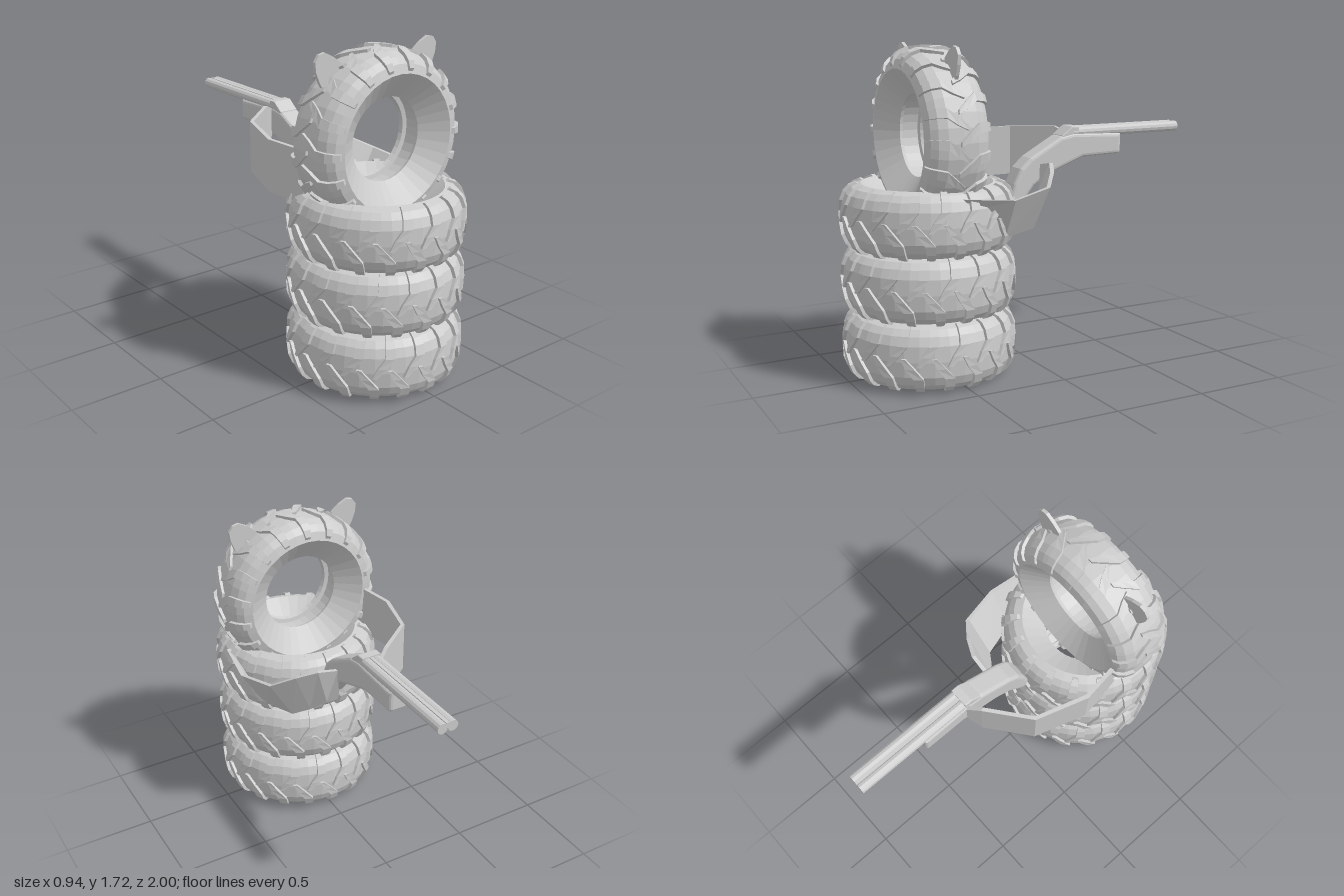
import * as THREE from 'three';
import { mergeGeometries } from 'three/addons/utils/BufferGeometryUtils.js';

const mat = new THREE.MeshStandardMaterial({ color: 0xcccccc, flatShading: true });

function mesh(name, geometry, parent) {
  const m = new THREE.Mesh(geometry, mat);
  m.name = name;
  parent.add(m);
  return m;
}

// Solid through a row of four-cornered cross-sections, capped at both ends
function loft(sections) {
  const pos = [], idx = [];
  sections.forEach(s => s.forEach(p => pos.push(...p)));
  const quad = (a, b, c, d) => idx.push(a, b, c, a, c, d);
  for (let i = 0; i < sections.length - 1; i++) {
    for (let j = 0; j < 4; j++) {
      const k = (j + 1) % 4, a = i * 4, b = a + 4;
      quad(a + j, a + k, b + k, b + j);
    }
  }
  const e = (sections.length - 1) * 4;
  quad(3, 2, 1, 0);
  quad(e, e + 1, e + 2, e + 3);
  // Turn the faces outward if the volume comes out negative
  const v = i => new THREE.Vector3().fromArray(pos, i * 3);
  let volume = 0;
  for (let i = 0; i < idx.length; i += 3) {
    volume += v(idx[i]).sub(v(0)).dot(v(idx[i + 1]).sub(v(0)).cross(v(idx[i + 2]).sub(v(0))));
  }
  if (volume < 0) idx.reverse();
  const g = new THREE.BufferGeometry();
  g.setAttribute('position', new THREE.Float32BufferAttribute(pos, 3));
  g.setIndex(idx);
  g.computeVertexNormals();
  return g;
}

// Half of the tyre section: [distance from the middle, radius]
const SECTION = [[0, 0.447], [0.08, 0.441], [0.125, 0.422], [0.155, 0.392], [0.17, 0.345]];

function treadRadius(s) {
  const a = Math.abs(s);
  for (let i = 1; i < SECTION.length; i++) {
    const [s0, r0] = SECTION[i - 1], [s1, r1] = SECTION[i];
    if (a <= s1) return r0 + (r1 - r0) * (a - s0) / (s1 - s0);
  }
  return SECTION[SECTION.length - 1][1];
}

// One bent tread lug wrapped on the tyre: [offset from middle, turn, half width]
function lug(angle, side) {
  const stations = [[0.166, 0, 0.04], [0.153, 0, 0.05], [0.125, 0, 0.055],
    [0.08, 0.01, 0.055], [0.03, 0.1, 0.05], [-0.02, 0.18, 0.025]];
  return loft(stations.map(([s, turn, w]) => {
    const r = treadRadius(s);
    const p = (rad, a, y) => [rad * Math.cos(a), y * side, rad * Math.sin(a)];
    const a0 = angle + turn - w, a1 = angle + turn + w;
    return [p(r + 0.016, a0, s * 1.05), p(r + 0.016, a1, s * 1.05),
      p(r - 0.012, a1, s * 0.96), p(r - 0.012, a0, s * 0.96)];
  }));
}

function tireGeometries() {
  const outer = [...SECTION.slice(1).reverse().map(([s, r]) => [r, -s]),
    ...SECTION.map(([s, r]) => [r, s])];
  // Sloping side walls and hollow inside
  const inner = [[0.215, 0.07], [0.222, 0.05], [0.245, 0.045], [0.245, -0.045], [0.222, -0.05], [0.215, -0.07]];
  const profile = [...outer, ...inner, outer[0]].map(([r, y]) => new THREE.Vector2(r, y));
  const count = 18, lugs = [];
  for (let i = 0; i < count; i++) {
    const a = i / count * Math.PI * 2;
    lugs.push(lug(a, 1), lug(a + Math.PI / count, -1));
  }
  return { body: new THREE.LatheGeometry(profile, 36), tread: mergeGeometries(lugs) };
}

// Side outline given as [z, y], extruded across x with rounded edges
function sideExtrude(points, x0, x1, bevel) {
  const shape = new THREE.Shape(points.map(([z, y]) => new THREE.Vector2(-z, y)));
  const g = new THREE.ExtrudeGeometry(shape, {
    depth: x1 - x0 - 2 * bevel, bevelEnabled: true, bevelSize: bevel,
    bevelThickness: bevel, bevelOffset: -bevel, bevelSegments: 3
  });
  g.rotateY(Math.PI / 2);
  g.translate(x0 + bevel, 0, 0);
  return g;
}

// Bent plate arm from [top point, bottom point] columns, thickened toward a push direction
function plateArm(columns) {
  return loft(columns.map(([t, b, nx, nz]) => {
    const inward = p => [p[0] + nx * 0.022, p[1], p[2] + nz * 0.022];
    return [t, inward(t), inward(b), b];
  }));
}

export function createModel() {
  const root = new THREE.Group();
  const { body, tread } = tireGeometries();

  function addTire(name, y, z) {
    const g = new THREE.Group();
    g.name = name;
    g.position.set(-0.01, y, z);
    mesh('tireBody', body, g);
    mesh('tireTread', tread, g);
    root.add(g);
    return g;
  }

  // Three stacked tires and an upright one as the head
  [0.18, 0.52, 0.853].forEach((y, i) => {
    addTire('bodyTire' + (i + 1), y, 0.54).rotation.y = i * 0.6;
  });
  addTire('headTire', 1.265, 0.532).rotation.x = Math.PI / 2;

  // Flat rounded ears
  const earOutline = [[0.2, 1.62], [0.235, 1.67], [0.28, 1.705], [0.33, 1.73], [0.365, 1.722],
    [0.388, 1.69], [0.382, 1.64], [0.36, 1.585], [0.325, 1.53], [0.26, 1.55]];
  for (const side of [1, -1]) {
    const pts = earOutline.map(([x, y]) => new THREE.Vector2(side * x - 0.012, y));
    const g = new THREE.ExtrudeGeometry(new THREE.Shape(pts), { depth: 0.018, bevelEnabled: false });
    g.translate(0, 0, 0.518);
    mesh(side > 0 ? 'leftEar' : 'rightEar', g, root);
  }

  // Left arm: leans outward at the top and bends round to the stock
  mesh('leftArm', plateArm([
    [[0.43, 0.99, 0.53], [0.37, 0.92, 0.47], -1, 0],
    [[0.468, 0.97, 0.27], [0.335, 0.755, 0.26], -1, 0],
    [[0.41, 1.01, 0.04], [0.27, 0.775, 0.06], -0.8, 0.6],
    [[0.3, 1.07, -0.045], [0.19, 0.81, 0.005], -0.5, 0.8],
    [[0.195, 1.1, -0.098], [0.12, 0.87, -0.055], -0.3, 0.9],
    [[0.08, 1.08, -0.105], [0.07, 0.93, -0.1], 0, 1]
  ]), root);

  // Right arm: upright plate reaching the grip
  mesh('rightArm', plateArm([
    [[-0.38, 1.23, 0.42], [-0.38, 0.95, 0.42], 1, 0],
    [[-0.412, 1.235, 0.17], [-0.412, 0.96, 0.17], 1, 0.1],
    [[-0.325, 1.25, -0.115], [-0.325, 0.975, -0.115], 0.8, 0.5],
    [[-0.11, 1.26, -0.29], [-0.11, 0.99, -0.29], 0.5, 0.8],
    [[-0.045, 1.225, -0.335], [-0.045, 1.09, -0.335], 0.5, 0.8]
  ]), root);

  // Double-barrelled gun
  const gun = new THREE.Group();
  gun.name = 'gun';
  root.add(gun);
  mesh('stock', sideExtrude([
    [-0.6, 1.105], [-0.607, 1.12], [-0.607, 1.222], [-0.3, 1.235], [-0.22, 1.22], [-0.12, 1.165],
    [-0.03, 1.115], [0.03, 1.06], [0.07, 0.98], [0.1, 0.88], [0.08, 0.82], [0.03, 0.86],
    [-0.05, 0.96], [-0.14, 1.02], [-0.25, 1.06], [-0.36, 1.1]
  ], -0.045, 0.08, 0.02), gun);
  mesh('breech', sideExtrude([
    [-0.335, 1.2], [-0.335, 1.272], [-0.29, 1.272], [-0.23, 1.225], [-0.23, 1.2]
  ], -0.04, 0.072, 0.006), gun);
  for (const x of [-0.013, 0.045]) {
    const g = new THREE.CylinderGeometry(0.029, 0.029, 0.7, 12);
    g.rotateX(Math.PI / 2);
    g.translate(x, 1.239, -0.65);
    mesh('barrel', g, gun);
  }
  const rib = new THREE.BoxGeometry(0.02, 0.03, 0.7);
  rib.translate(0.016, 1.25, -0.65);
  mesh('barrelRib', rib, gun);

  return root;
}
